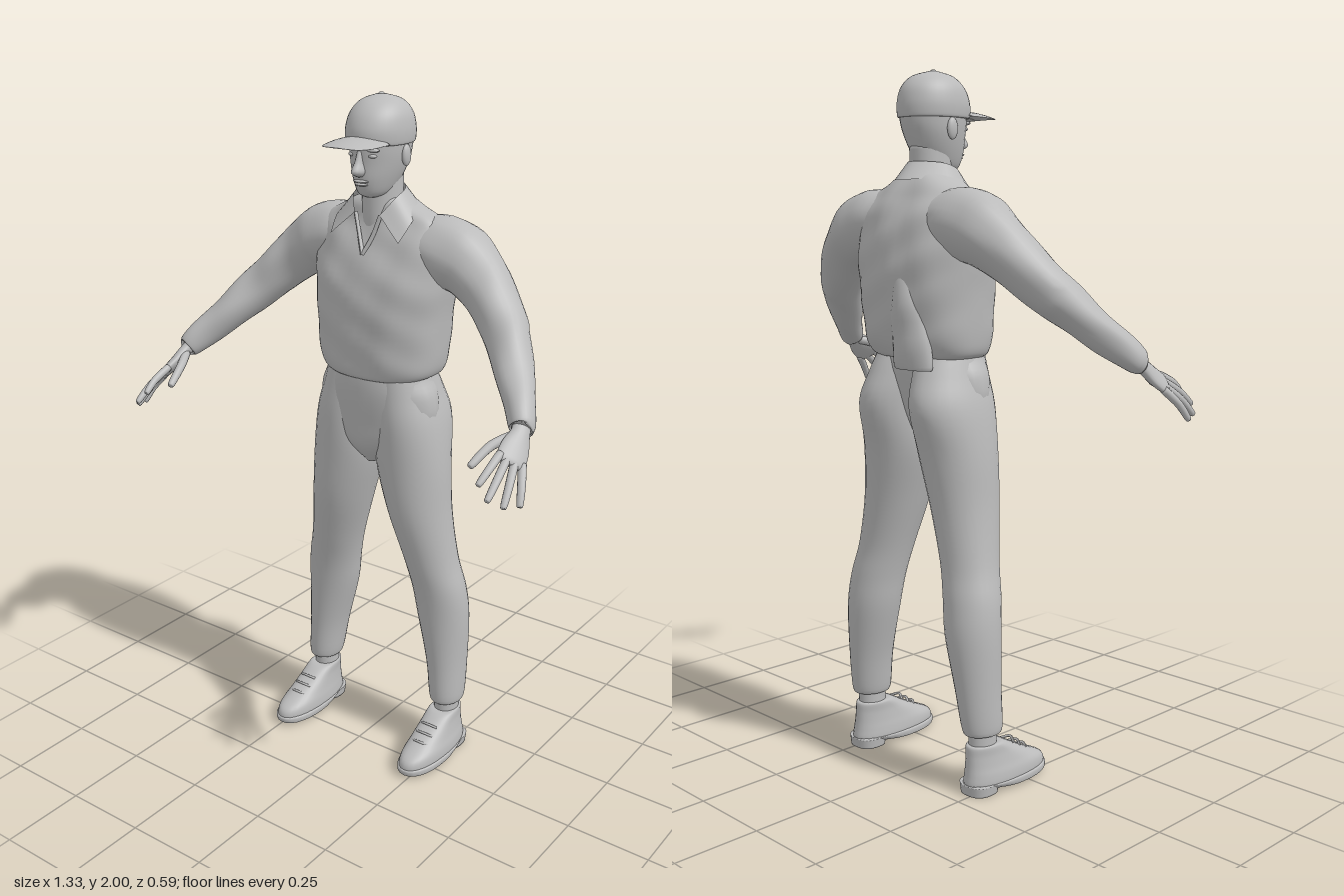
import * as THREE from 'three';

const V = (x, y, z) => new THREE.Vector3(x, y, z);
const grey = new THREE.MeshStandardMaterial({ color: 0xbbbbbb });
grey.name = 'plain grey';
const greySheet = new THREE.MeshStandardMaterial({ color: 0xbbbbbb, side: THREE.DoubleSide });
greySheet.name = 'plain grey sheet';

// Smooth interpolation through rows of numbers, t from 0 to 1
function sample(keys, t) {
  const f = t * (keys.length - 1), i = Math.min(Math.floor(f), keys.length - 2), u = f - i;
  const k = n => keys[Math.max(0, Math.min(keys.length - 1, n))];
  return keys[i].map((b, c) => {
    const a = k(i - 1)[c], d = k(i + 1)[c], e = k(i + 2)[c];
    return b + 0.5 * u * (d - a + u * (2 * a - 5 * b + 4 * d - e + u * (3 * (b - d) + e - a)));
  });
}

// Skin of rounded sections. Key: [x, y, z, half width, front depth, back depth]
// wide = direction of the half width; without it the sections lie flat, stacked up y
function loft(keys, { wide = null, n = 28, per = 5, power = 2, warp = null } = {}) {
  keys = keys.map(k => [k[0], k[1], k[2], k[3], k[4] ?? k[3], k[5] ?? k[4] ?? k[3]]);
  const rows = (keys.length - 1) * per, pos = [], idx = [];
  const put = p => { if (warp) warp(p); pos.push(p.x, p.y, p.z); };
  for (let i = 0; i <= rows; i++) {
    const t = i / rows, k = sample(keys, t);
    let T = V(0, 1, 0), S = V(1, 0, 0);
    if (wide) {
      const a = sample(keys, Math.max(0, t - 0.02)), b = sample(keys, Math.min(1, t + 0.02));
      T = V(b[0] - a[0], b[1] - a[1], b[2] - a[2]).normalize();
      S = wide.clone().addScaledVector(T, -wide.dot(T)).normalize();
    }
    const B = S.clone().cross(T);
    for (let j = 0; j < n; j++) {
      const a = j / n * Math.PI * 2, c = Math.cos(a), s = Math.sin(a);
      const round = v => Math.sign(v) * Math.abs(v) ** (2 / power);
      put(V(k[0], k[1], k[2]).addScaledVector(S, k[3] * round(c))
        .addScaledVector(B, (s > 0 ? k[4] : k[5]) * round(s)));
    }
  }
  for (let i = 0; i < rows; i++) for (let j = 0; j < n; j++) {
    const a = i * n + j, b = i * n + (j + 1) % n;
    idx.push(a, a + n, b, b, a + n, b + n);
  }
  // end caps
  const first = keys[0], last = keys[keys.length - 1], c0 = (rows + 1) * n;
  put(V(first[0], first[1], first[2]));
  put(V(last[0], last[1], last[2]));
  for (let j = 0; j < n; j++) {
    const m = (j + 1) % n;
    idx.push(c0, j, m, c0 + 1, rows * n + m, rows * n + j);
  }
  return finish(pos, idx);
}

function finish(pos, idx) {
  const g = new THREE.BufferGeometry();
  g.setAttribute('position', new THREE.Float32BufferAttribute(pos, 3));
  g.setIndex(idx);
  g.computeVertexNormals();
  return g;
}

function mirrored(g) {
  const p = Array.from(g.attributes.position.array, (v, i) => i % 3 === 0 ? -v : v);
  const idx = Array.from(g.index.array);
  for (let i = 0; i < idx.length; i += 3) [idx[i], idx[i + 1]] = [idx[i + 1], idx[i]];
  return finish(p, idx);
}

const blob = (x, y, z, a, b, c) => new THREE.SphereGeometry(1, 18, 12).scale(a, b, c).translate(x, y, z);
const cord = (pts, r) => new THREE.TubeGeometry(new THREE.CatmullRomCurve3(pts), 12, r, 6);

// Soft cloth folds
const folds = p => {
  const w = 0.004 * Math.sin(p.x * 38 + p.y * 21) * Math.sin(p.y * 33 - p.x * 12 + 1);
  p.z += w * Math.sign(p.z + 0.12);
  p.y += w * 0.5;
};

export function createModel() {
  const model = new THREE.Group();
  const add = (name, g, mat = grey) => {
    const m = new THREE.Mesh(g, mat);
    m.name = name;
    model.add(m);
  };
  const pair = (name, g) => {
    add('left ' + name, g);
    add('right ' + name, mirrored(g));
  };

  // Trousers
  add('trouser hips', loft([
    [0, 0.94, -0.10, 0.02, 0.05, 0.03], [0, 1.0, -0.10, 0.11, 0.09, 0.07],
    [0, 1.08, -0.10, 0.19, 0.1, 0.1], [0, 1.16, -0.10, 0.193, 0.108, 0.12],
    [0, 1.22, -0.10, 0.166, 0.108, 0.125], [0, 1.27, -0.10, 0.16, 0.1, 0.12]]));
  pair('trouser leg', loft([
    [0.237, 0.17, -0.14, 0.04, 0.048, 0.05], [0.237, 0.185, -0.14, 0.051, 0.06, 0.066],
    [0.228, 0.3, -0.15, 0.061, 0.07, 0.07], [0.21, 0.45, -0.15, 0.08, 0.075, 0.082],
    [0.197, 0.55, -0.14, 0.084, 0.075, 0.085], [0.173, 0.65, -0.13, 0.084, 0.085, 0.082],
    [0.14, 0.8, -0.115, 0.096, 0.1, 0.1], [0.115, 0.95, -0.11, 0.11, 0.105, 0.125],
    [0.105, 1.08, -0.11, 0.101, 0.11, 0.16], [0.09, 1.17, -0.11, 0.09, 0.105, 0.135],
    [0.08, 1.24, -0.11, 0.08, 0.1, 0.1]]));

  // Shirt body, loose tail at the back, sleeves
  add('shirt body', loft([
    [0, 1.215, -0.12, 0.16, 0.128, 0.11], [0, 1.23, -0.12, 0.183, 0.135, 0.128],
    [0, 1.28, -0.12, 0.195, 0.14, 0.15], [0, 1.4, -0.12, 0.204, 0.143, 0.165],
    [0, 1.5, -0.12, 0.215, 0.13, 0.163], [0, 1.6, -0.12, 0.21, 0.092, 0.14],
    [0, 1.66, -0.12, 0.18, 0.065, 0.105], [0, 1.70, -0.12, 0.11, 0.058, 0.08],
    [0, 1.725, -0.12, 0.05, 0.05, 0.06]], { n: 56, per: 7, power: 2.35, warp: folds }));
  add('shirt tail', loft([
    [-0.065, 1.19, -0.24, 0.055, 0.02, 0.025], [-0.065, 1.2, -0.24, 0.07, 0.025, 0.034],
    [-0.06, 1.3, -0.24, 0.065, 0.03, 0.045], [-0.055, 1.42, -0.24, 0.04, 0.03, 0.048],
    [-0.05, 1.54, -0.23, 0.01, 0.01, 0.01]], { warp: folds }));
  pair('sleeve', loft([
    [0.1, 1.585, -0.15, 0.09], [0.2, 1.575, -0.15, 0.1], [0.27, 1.545, -0.15, 0.089],
    [0.34, 1.49, -0.13, 0.075], [0.41, 1.42, -0.095, 0.066], [0.47, 1.355, -0.04, 0.057],
    [0.54, 1.275, 0.035, 0.045], [0.578, 1.227, 0.082, 0.036], [0.583, 1.22, 0.09, 0.028]],
  { wide: V(0, 0, 1), warp: folds }));

  // Collar: a folded sheet from the neck edge to the points
  const half = pts => [...pts, ...pts.slice(0, -1).reverse().map(p => V(-p.x, p.y, p.z))];
  const inner = new THREE.CatmullRomCurve3(half([V(0.042, 1.68, -0.035), V(0.07, 1.725, -0.07),
    V(0.068, 1.745, -0.12), V(0, 1.75, -0.185)]));
  const outer = new THREE.CatmullRomCurve3(half([V(0.115, 1.615, -0.02), V(0.125, 1.665, -0.07),
    V(0.105, 1.695, -0.14), V(0, 1.7, -0.225)]));
  const pos = [], idx = [];
  for (let i = 0; i <= 36; i++) {
    pos.push(...inner.getPoint(i / 36).toArray(), ...outer.getPoint(i / 36).toArray());
    const a = i * 2;
    if (i < 36) idx.push(a, a + 1, a + 2, a + 2, a + 1, a + 3);
  }
  add('collar', finish(pos, idx), greySheet);
  pair('neck opening edge', cord([V(0.042, 1.68, -0.04), V(0.022, 1.62, -0.03), V(0, 1.57, -0.014)], 0.006));

  // Head and neck
  add('neck', loft([[0, 1.6, -0.12, 0.06, 0.07, 0.06], [0, 1.68, -0.11, 0.057, 0.062, 0.062],
    [0, 1.8, -0.105, 0.055, 0.05, 0.07]]));
  add('head', loft([
    [0, 1.725, -0.06, 0.02, 0.025, 0.03], [0, 1.738, -0.075, 0.042, 0.06, 0.055],
    [0, 1.775, -0.09, 0.06, 0.088, 0.075], [0, 1.82, -0.10, 0.074, 0.1, 0.088],
    [0, 1.86, -0.10, 0.08, 0.102, 0.102], [0, 1.9, -0.10, 0.08, 0.1, 0.104],
    [0, 1.95, -0.10, 0.06, 0.07, 0.08]]));
  add('nose', loft([[0, 1.786, -0.005, 0.009, 0.014, 0.01], [0, 1.8, -0.002, 0.017, 0.034, 0.01],
    [0, 1.825, -0.004, 0.011, 0.022, 0.01], [0, 1.855, -0.008, 0.008, 0.012, 0.01]], { n: 14 }));
  add('upper lip', blob(0, 1.773, -0.006, 0.025, 0.005, 0.011));
  add('lower lip', blob(0, 1.764, -0.009, 0.021, 0.005, 0.012));
  pair('eye', blob(0.032, 1.842, -0.014, 0.014, 0.006, 0.01));
  pair('brow', blob(0.034, 1.858, -0.013, 0.022, 0.006, 0.012));
  pair('ear', blob(0.081, 1.838, -0.105, 0.01, 0.03, 0.018).rotateX(0));

  // Cap
  add('cap crown', loft([
    [0, 1.868, -0.10, 0.082, 0.104, 0.104], [0, 1.874, -0.10, 0.088, 0.112, 0.109],
    [0, 1.91, -0.10, 0.089, 0.112, 0.11], [0, 1.95, -0.10, 0.079, 0.094, 0.098],
    [0, 1.98, -0.10, 0.053, 0.06, 0.066], [0, 1.995, -0.10, 0.012, 0.012, 0.012]], { n: 36 }));
  add('cap button', blob(0, 1.994, -0.10, 0.009, 0.006, 0.009));
  add('cap brim', loft([
    [0, 1.889, -0.03, 0.08, 0.004], [0, 1.889, 0.02, 0.082, 0.004], [0, 1.885, 0.06, 0.075, 0.004],
    [0, 1.88, 0.09, 0.056, 0.003], [0, 1.877, 0.105, 0.03, 0.002], [0, 1.876, 0.11, 0.004, 0.001]],
  { wide: V(1, 0, 0), warp: p => { p.y -= 2.4 * p.x * p.x; } }));

  // Hands
  const across = V(0.656, -0.49, -0.574);
  pair('palm', loft([
    [0.572, 1.237, 0.068, 0.026, 0.02], [0.585, 1.212, 0.1, 0.027, 0.018],
    [0.592, 1.185, 0.135, 0.04, 0.017], [0.6, 1.162, 0.17, 0.043, 0.014],
    [0.603, 1.154, 0.182, 0.034, 0.008]], { wide: across, n: 20 }));
  const tips = { 'index finger': V(0.575, 1.13, 0.281), 'middle finger': V(0.606, 1.098, 0.288),
    'ring finger': V(0.635, 1.076, 0.258), 'little finger': V(0.655, 1.068, 0.212) };
  const finger = (a, b, c, r) => loft([[...a.toArray(), r], [...b.toArray(), r * 0.95],
    [...c.toArray(), r * 0.75], [...c.clone().addScaledVector(c.clone().sub(b).normalize(), 0.005).toArray(), r * 0.2]],
  { wide: across, n: 12 });
  Object.entries(tips).forEach(([name, tip], i) => {
    const base = V(0.599, 1.165, 0.166).addScaledVector(across, (i - 1.5) * 0.022);
    const mid = base.clone().lerp(tip, 0.55).add(V(0.003, 0.004, 0.003));
    pair(name, finger(base, mid, tip, 0.0115));
  });
  pair('thumb', finger(V(0.575, 1.208, 0.108), V(0.54, 1.188, 0.17), V(0.522, 1.152, 0.232), 0.0135));

  // Shoes
  pair('ankle', loft([[0.237, 0.1, -0.14, 0.036, 0.042, 0.045], [0.237, 0.2, -0.14, 0.036, 0.042, 0.045]]));
  pair('shoe upper', loft([
    [0.24, 0.015, -0.06, 0.054, 0.148, 0.14], [0.24, 0.03, -0.06, 0.06, 0.157, 0.146],
    [0.24, 0.055, -0.06, 0.058, 0.145, 0.143], [0.239, 0.08, -0.07, 0.052, 0.105, 0.13],
    [0.238, 0.11, -0.09, 0.046, 0.065, 0.108], [0.237, 0.137, -0.12, 0.042, 0.045, 0.075],
    [0.237, 0.14, -0.13, 0.03, 0.03, 0.05]], { n: 32, power: 2.2 }));
  pair('shoe sole', loft([[0.24, 0.008, -0.03, 0.055, 0.115, 0.06], [0.24, 0.012, -0.04, 0.063, 0.138, 0.1],
    [0.24, 0.028, -0.05, 0.064, 0.151, 0.155], [0.24, 0.032, -0.05, 0.056, 0.14, 0.145]], { power: 2.2 }));
  pair('shoe heel', loft([[0.24, 0, -0.155, 0.048, 0.045, 0.05], [0.24, 0.03, -0.155, 0.052, 0.048, 0.053]],
    { power: 2.6 }));
  for (let i = 0; i < 3; i++) {
    const y = 0.092 + i * 0.017, z = 0.022 - i * 0.026;
    pair('lace ' + (i + 1), cord([V(0.212, y - 0.01, z - 0.012), V(0.239, y, z), V(0.266, y - 0.01, z - 0.012)], 0.004));
  }
  return model;
}
